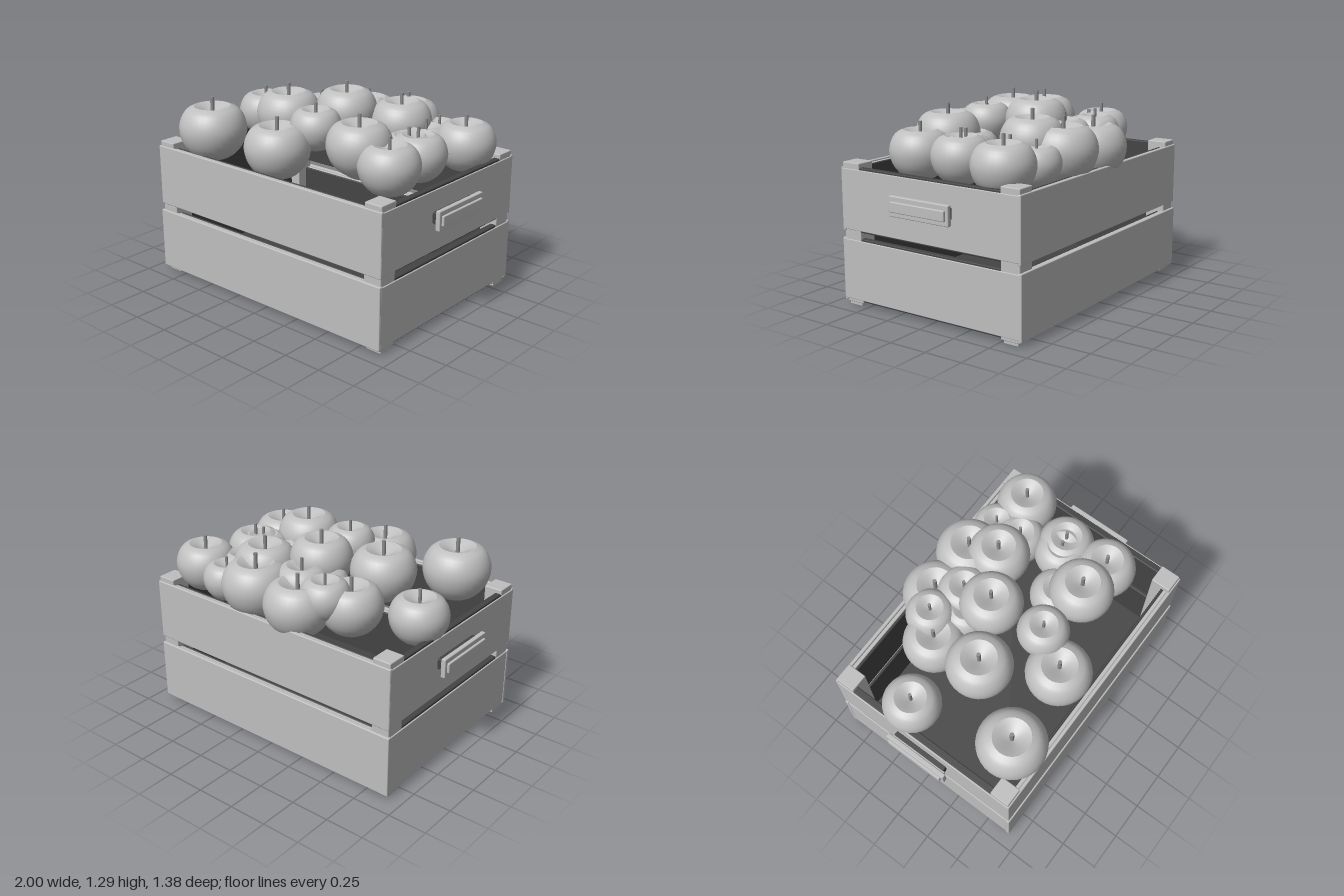
import * as THREE from 'three';
import { RoundedBoxGeometry } from 'three/addons/geometries/RoundedBoxGeometry.js';

const lightGrey = new THREE.MeshStandardMaterial({ color: 0xbfbfbf });
lightGrey.name = 'light grey';
const darkGrey = new THREE.MeshStandardMaterial({ color: 0x444444 });
darkGrey.name = 'dark grey';
const stemGrey = new THREE.MeshStandardMaterial({ color: 0x8c8c8c });
stemGrey.name = 'stem grey';

// Box given by its minimum and maximum corners, with softened edges
function block(name, min, max, material, radius = 0.006) {
  const size = max.map((v, i) => v - min[i]);
  const r = Math.min(radius, Math.min(...size) * 0.4);
  const mesh = new THREE.Mesh(new RoundedBoxGeometry(...size, 1, r), material);
  mesh.position.set(...max.map((v, i) => (v + min[i]) / 2));
  mesh.name = name;
  return mesh;
}

function createCrate() {
  const crate = new THREE.Group();
  crate.name = 'crate';
  const rows = [[0.03, 0.428, 0.005], [0.472, 0.868, 0]];

  // Front half and back half
  for (const s of [1, -1]) {
    const side = s > 0 ? 'front' : 'back';
    const span = (a, b) => (s > 0 ? [a, b] : [-b, -a]);
    for (const [y0, y1, out] of rows) {
      const [a, b] = span(0.637, 0.66 + out);
      crate.add(block(side + 'Board', [-0.912 - out, y0, a], [0.912, y1, b], lightGrey));
      const [c, d] = span(0.612, 0.637);
      crate.add(block(side + 'Batten', [-0.79, y0 + 0.008, c], [0.79, y1 - 0.008, d], lightGrey));
      const [e, f] = span(0.595, 0.612);
      crate.add(block(side + 'Liner', [-0.79, y0 + 0.008, e], [0.79, y1 - 0.008, f], darkGrey));
    }
  }

  for (const s of [1, -1]) {
    const side = s > 0 ? 'left' : 'right';
    const span = (a, b) => (s > 0 ? [a, b] : [-b, -a]);
    // Side boards with a slightly taller dark lining
    for (const [y0, y1] of rows) {
      const [a, b] = span(0.902, 0.913);
      crate.add(block(side + 'Board', [a, y0 + 0.012, -0.655], [b, y1 - 0.006, 0.655], lightGrey));
      const [c, d] = span(0.86, 0.902);
      crate.add(block(side + 'Liner', [c, y0, -0.54], [d, y1 + 0.005, 0.54], darkGrey));
    }
    // Corner posts, which also form the feet
    for (const z of [-0.585, 0.585]) {
      const [a, b] = span(0.785, 0.905);
      crate.add(block('cornerPost', [a, 0.02, z - 0.065], [b, 0.9, z + 0.065], lightGrey));
      const [c, d] = span(0.795, 0.9);
      crate.add(block('foot', [c, 0, z - 0.05], [d, 0.04, z + 0.05], lightGrey));
    }
    // Carrying handle on a dark mount
    const [m, n] = span(0.91, 0.945);
    crate.add(block('handleMount', [m, 0.665, -0.19], [n, 0.735, 0.19], darkGrey));
    const [a, b] = span(0.94, 1);
    crate.add(block(side + 'Handle', [a, 0.668, -0.2], [b, 0.732, 0.2], lightGrey));
    const [c, d] = span(0.955, 0.985);
    crate.add(block(side + 'HandleRim', [c, 0.638, -0.22], [d, 0.762, 0.22], lightGrey));
  }

  crate.add(block('floor', [-0.9, 0.035, -0.645], [0.9, 0.06, 0.645], darkGrey));
  crate.position.z = 0.01;
  return crate;
}

// Unit apple: the rim of the top hollow is at y = 0
const points = (list) => list.map(([x, y]) => new THREE.Vector2(x, y));
const bodyCurve = new THREE.SplineCurve(points([
  [0, -1.58], [0.3, -1.6], [0.62, -1.45], [0.88, -1.14],
  [1, -0.74], [0.95, -0.4], [0.78, -0.12], [0.54, 0],
]));
const bodyPoints = bodyCurve.getPoints(18);
bodyPoints[0].x = 0;
const bodyGeometry = new THREE.LatheGeometry(bodyPoints, 32);
const hollowGeometry = new THREE.LatheGeometry(
  points([[0.54, 0], [0.36, -0.07], [0.18, -0.17], [0, -0.24]]), 32);
const stemGeometry = new THREE.CylinderGeometry(0.06, 0.06, 0.5, 10);

function createApple([x, z, radius, rim]) {
  const apple = new THREE.Group();
  apple.name = 'apple';
  const body = new THREE.Mesh(bodyGeometry, lightGrey);
  body.name = 'appleBody';
  const hollow = new THREE.Mesh(hollowGeometry, lightGrey);
  hollow.name = 'appleHollow';
  const stem = new THREE.Mesh(stemGeometry, stemGrey);
  stem.name = 'stem';
  stem.position.y = 0.01;
  apple.add(body, hollow, stem);
  apple.scale.setScalar(radius);
  apple.position.set(x, rim, z);
  return apple;
}

export function createModel() {
  const model = new THREE.Group();
  model.name = 'crateOfApples';
  model.add(createCrate());

  // Heaped apples: x, z, radius, height of the rim
  const apples = [
    [-0.76, -0.16, 0.18, 1.08], [-0.61, 0.47, 0.215, 1.145],
    [-0.355, 0.04, 0.205, 1.2], [-0.085, 0.43, 0.205, 1.11],
    [0.04, 0.22, 0.16, 1.19], [0.405, 0.245, 0.2, 1.18],
    [0.645, 0.265, 0.188, 1.1], [0.33, 0.12, 0.17, 1.06],
    [0.63, -0.03, 0.18, 1.09], [0.57, -0.02, 0.17, 1.08],
    [-0.01, -0.13, 0.195, 1.24], [0.295, -0.305, 0.195, 1.18],
    [0.22, -0.475, 0.212, 1.135], [0.72, -0.4, 0.19, 1.1],
    [0.48, -0.46, 0.15, 1.05], [0.5, -0.29, 0.16, 1.06],
    [-0.115, -0.48, 0.21, 1.1], [-0.26, -0.405, 0.155, 1.13],
    [-0.37, -0.295, 0.195, 1.09], [-0.02, -0.33, 0.17, 1.13],
    [-0.12, -0.24, 0.155, 1.1],
  ];
  for (const apple of apples) model.add(createApple(apple));
  return model;
}
